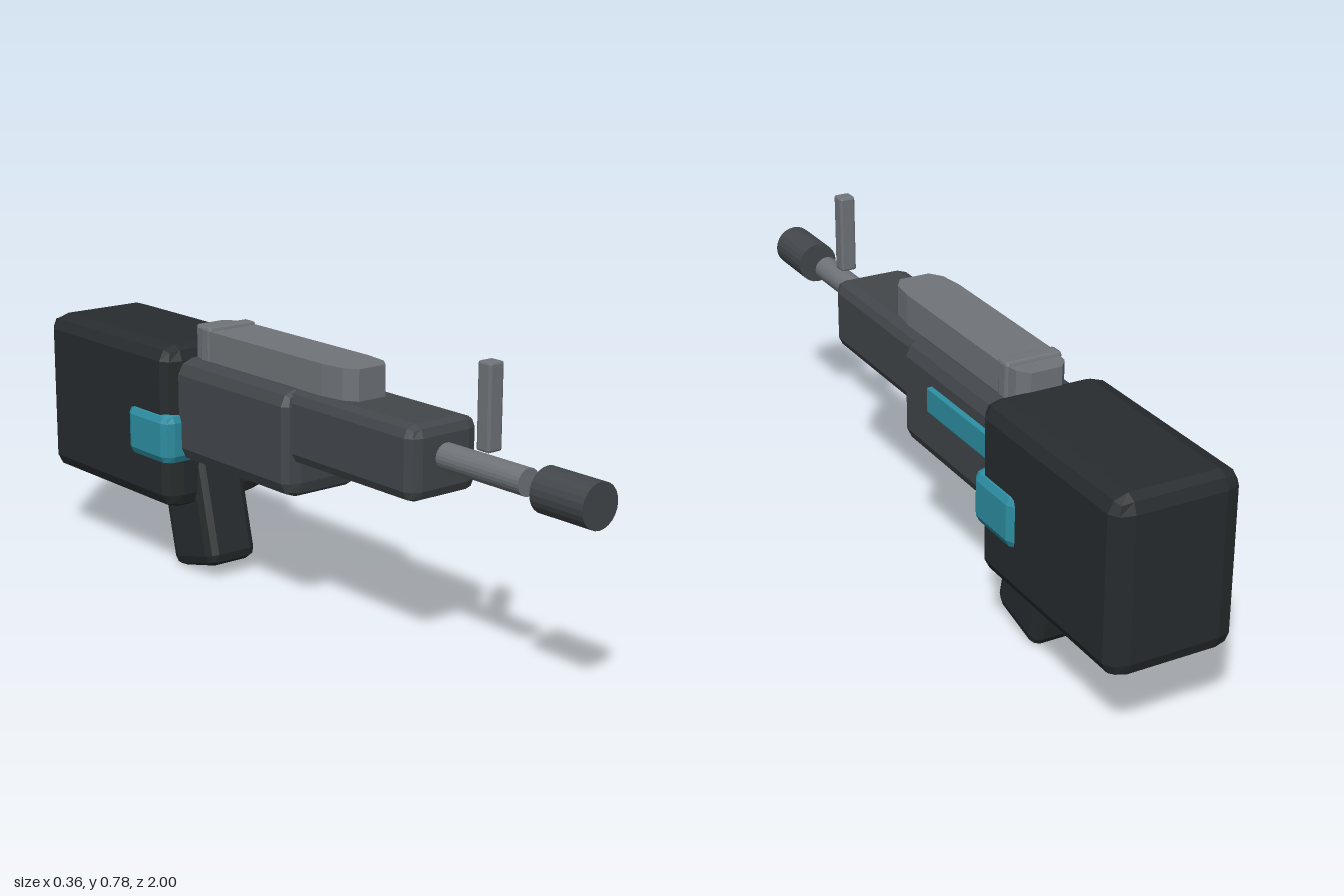
import * as THREE from 'three';
import { RoundedBoxGeometry } from 'three/addons/geometries/RoundedBoxGeometry.js';

const material = (color) => new THREE.MeshStandardMaterial({ color, flatShading: true });

export function createModel() {
  const group = new THREE.Group();
  const black = material(0x282c2e);
  const dark = material(0x43474b);
  const grey = material(0x707479);
  const teal = material(0x2d90a4);

  const add = (name, geometry, mat, x, y, z) => {
    const mesh = new THREE.Mesh(geometry, mat);
    mesh.name = name;
    mesh.position.set(x, y, z);
    group.add(mesh);
    return mesh;
  };

  // Box given by its limits, with two-step bevels of radius r = [rx, ry, rz]
  const block = (name, mat, [x0, x1], [y0, y1], [z0, z1], r) => {
    const geometry = new RoundedBoxGeometry((x1 - x0) / r[0], (y1 - y0) / r[1], (z1 - z0) / r[2], 1, 1);
    geometry.scale(...r);
    return add(name, geometry, mat, (x0 + x1) / 2, (y0 + y1) / 2, (z0 + z1) / 2);
  };

  // Rod lying along z
  const rod = (name, mat, radius, y, z0, z1) =>
    add(name, new THREE.CylinderGeometry(radius, radius, z1 - z0, 24).rotateX(Math.PI / 2), mat, 0, y, (z0 + z1) / 2);

  // Main masses
  block('stock', black, [-0.167, 0.167], [0.2, 0.65], [-1, -0.405], [0.05, 0.04, 0.035]);
  block('receiver', dark, [-0.128, 0.128], [0.335, 0.615], [-0.45, 0.06], [0.045, 0.04, 0.025]);
  block('handguard', dark, [-0.108, 0.108], [0.425, 0.615], [-0.05, 0.505], [0.035, 0.03, 0.03]);

  // Grip leaning back towards its top
  const grip = block('grip', black, [-0.077, 0.077], [0.015, 0.415], [-0.57, -0.375], [0.025, 0.03, 0.03]);
  grip.rotation.x = -0.237;

  // Coloured band through the stock and strip on the left flank
  block('stockBand', teal, [-0.18, 0.18], [0.328, 0.47], [-0.587, -0.397], [0.03, 0.025, 0.025]);
  block('sidePanel', teal, [0.118, 0.142], [0.48, 0.547], [-0.43, -0.1], [0.003, 0.004, 0.004]);

  // Top rail: tapered plan outline (half-width, z), mirrored and extruded upwards
  const half = [[0.042, 0.235], [0.066, 0.2], [0.075, 0.13], [0.075, -0.35], [0.066, -0.405], [0.042, -0.435]];
  const outline = [...half, ...half.map(([x, z]) => [-x, z]).reverse()];
  const shape = new THREE.Shape(outline.map(([x, z]) => new THREE.Vector2(x, -z)));
  const rail = new THREE.ExtrudeGeometry(shape, { depth: 0.1, bevelEnabled: false }).rotateX(-Math.PI / 2);
  add('topRail', rail, grey, 0, 0.596, 0);
  block('rearSight', grey, [-0.077, 0.077], [0.6, 0.705], [-0.378, -0.335], [0.008, 0.008, 0.008]);

  // Barrel, separate muzzle and front sight post
  rod('barrel', grey, 0.034, 0.53, 0.45, 0.78);
  rod('muzzle', dark, 0.056, 0.527, 0.838, 1);
  block('frontSight', grey, [-0.022, 0.022], [0.575, 0.788], [0.627, 0.67], [0.006, 0.006, 0.006]);

  return group;
}
